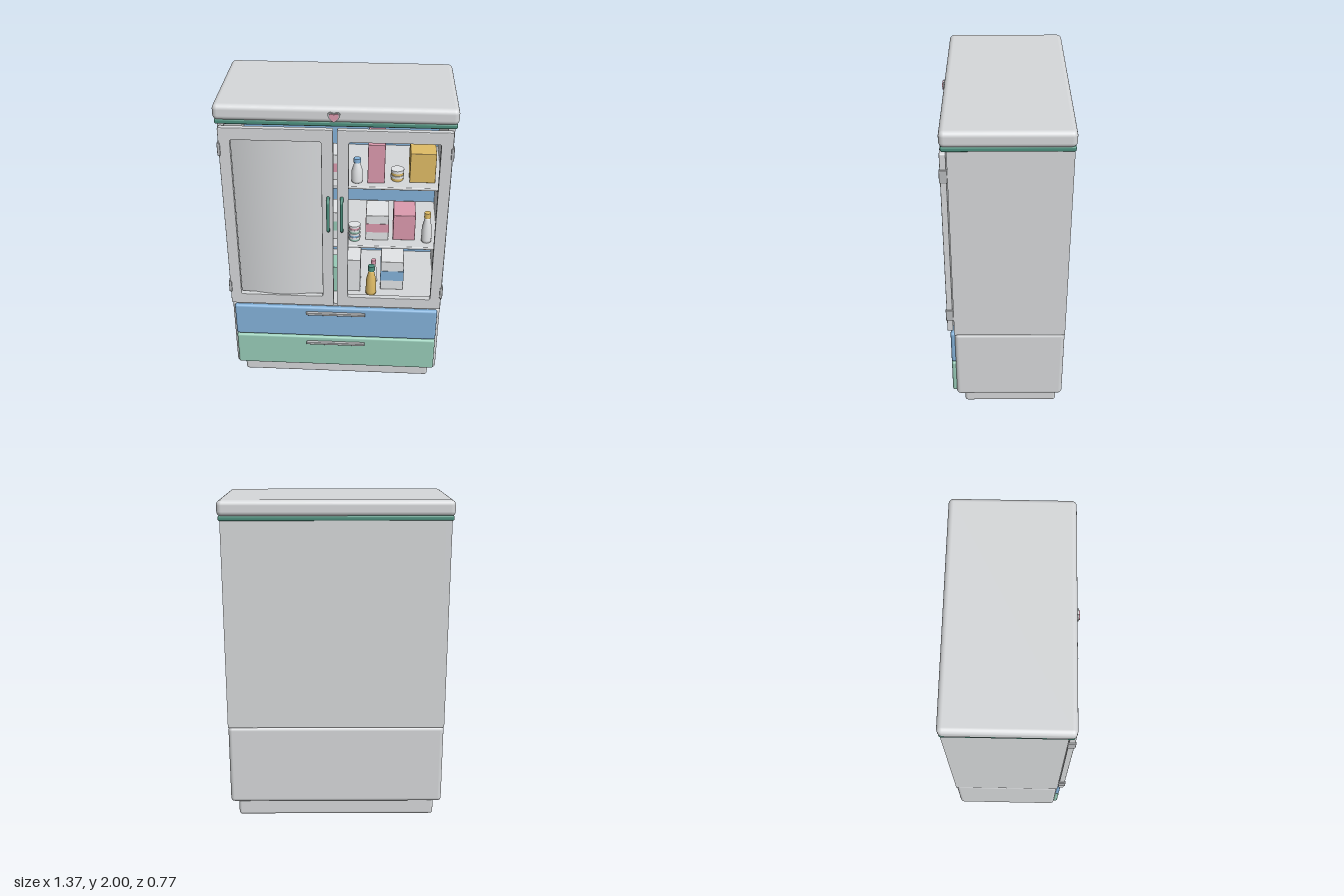
import * as THREE from 'three';
import { RoundedBoxGeometry } from 'three/addons/geometries/RoundedBoxGeometry.js';

const material = (name, color, side = THREE.FrontSide) => {
  const m = new THREE.MeshStandardMaterial({ color, side });
  m.name = name;
  return m;
};

export function createModel() {
  const model = new THREE.Group();
  model.name = 'cabinet';
  const enamel = material('enamel', 0xd6d8da, THREE.DoubleSide);
  const white = material('white', 0xe8eaec);
  const metal = material('metal', 0xb9bbbd);
  const blue = material('blue', 0x84b2da);
  const mint = material('mint', 0x98ccb8);
  const teal = material('teal', 0x4c8f7d);
  const pink = material('pink', 0xdc9aae);
  const yellow = material('yellow', 0xe0bc66);

  const add = (name, geometry, mat, parent = model) => {
    const mesh = new THREE.Mesh(geometry, mat);
    mesh.name = name;
    parent.add(mesh);
    return mesh;
  };
  // Box given by its limits on each axis; a radius rounds the edges
  const box = (name, mat, x0, x1, y0, y1, z0, z1, r = 0, parent = model) => {
    const size = [x1 - x0, y1 - y0, z1 - z0];
    const g = r ? new RoundedBoxGeometry(...size, 3, r) : new THREE.BoxGeometry(...size);
    g.translate((x0 + x1) / 2, (y0 + y1) / 2, (z0 + z1) / 2);
    return add(name, g, mat, parent);
  };

  // Plinth, drawer case, trim and lid
  box('plinth', enamel, -0.62, 0.62, 0, 0.12, -0.335, 0.25, 0.018);
  box('drawerCase', enamel, -0.667, 0.667, 0.105, 0.613, -0.37, 0.3, 0.025);
  box('trimBand', teal, -0.677, 0.677, 1.882, 1.912, -0.375, 0.332, 0.01);
  box('lid', enamel, -0.685, 0.685, 1.905, 2, -0.38, 0.34, 0.03);

  // Open-fronted upper cabinet with a blue lining
  for (const s of [-1, 1]) {
    box('sideWall', enamel, Math.min(s * 0.63, s * 0.667), Math.max(s * 0.63, s * 0.667), 0.613, 1.885, -0.37, 0.3);
  }
  box('backWall', enamel, -0.63, 0.63, 0.613, 1.885, -0.37, -0.335);
  box('backLining', blue, -0.63, 0.63, 0.63, 1.87, -0.335, -0.328);
  box('cabinetFloor', enamel, -0.63, 0.63, 0.613, 0.63, -0.335, 0.3);
  box('cabinetCeiling', enamel, -0.63, 0.63, 1.87, 1.885, -0.335, 0.3);
  for (const y of [1.02, 1.437]) box('shelf', enamel, -0.63, 0.63, y, y + 0.018, -0.33, 0.24, 0.006);

  // Drawers with slim bar handles
  [[0.128, 0.367, mint, 0.325], [0.375, 0.607, blue, 0.567]].forEach(([y0, y1, mat, hy]) => {
    box('drawerFront', mat, -0.65, 0.65, y0, y1, 0.29, 0.325, 0.014);
    box('drawerHandle', metal, -0.19, 0.19, hy - 0.009, hy + 0.009, 0.32, 0.345, 0.005);
  });

  // Doors: framed openings with handles and hinges
  const rect = (shape, x0, x1, y0, y1, r) => {
    shape.moveTo(x0 + r, y0).lineTo(x1 - r, y0).quadraticCurveTo(x1, y0, x1, y0 + r);
    shape.lineTo(x1, y1 - r).quadraticCurveTo(x1, y1, x1 - r, y1);
    shape.lineTo(x0 + r, y1).quadraticCurveTo(x0, y1, x0, y1 - r);
    shape.lineTo(x0, y0 + r).quadraticCurveTo(x0, y0, x0 + r, y0);
    return shape;
  };
  for (const s of [-1, 1]) {
    const door = new THREE.Group();
    door.name = s < 0 ? 'rightDoor' : 'leftDoor';
    model.add(door);
    const cx = s * 0.3365;
    const frame = rect(new THREE.Shape(), cx - 0.3255, cx + 0.3255, 0.64, 1.865, 0.012);
    frame.holes.push(rect(new THREE.Path(), cx - 0.258, cx + 0.258, 0.713, 1.79, 0.012));
    const g = new THREE.ExtrudeGeometry(frame, {
      depth: 0.027, bevelEnabled: true, bevelThickness: 0.004, bevelSize: 0.004, bevelOffset: -0.004, bevelSegments: 2,
    });
    add('doorFrame', g.translate(0, 0, 0.309), enamel, door);

    const path = new THREE.CurvePath();
    const pts = [[1.432, 0.33], [1.432, 0.36], [1.41, 0.376], [1.235, 0.376], [1.215, 0.36], [1.215, 0.33]]
      .map(([y, z]) => new THREE.Vector3(s * 0.04, y, z));
    for (let i = 1; i < pts.length; i++) path.add(new THREE.LineCurve3(pts[i - 1], pts[i]));
    add('doorHandle', new THREE.TubeGeometry(path, 40, 0.01, 10), teal, door);
    for (const y of [0.77, 1.73]) {
      box('hinge', metal, s * 0.661 - 0.009, s * 0.661 + 0.009, y - 0.04, y + 0.04, 0.3, 0.345, 0.004, door);
    }
  }

  // Bowed panel closing one door
  const panel = new THREE.PlaneGeometry(0.54, 1.12, 32, 1);
  const p = panel.attributes.position;
  for (let i = 0; i < p.count; i++) p.setZ(i, 0.05 * (1 - (p.getX(i) / 0.27) ** 2));
  panel.computeVertexNormals();
  add('bowedPanel', panel, enamel).position.set(-0.3365, 1.2515, 0.279);

  // Heart ornament on the lid edge
  const heart = new THREE.Shape();
  heart.moveTo(0, -0.03).bezierCurveTo(-0.05, 0, -0.035, 0.04, 0, 0.018);
  heart.bezierCurveTo(0.035, 0.04, 0.05, 0, 0, -0.03);
  const ornament = (name, mat, scale, z, depth) => {
    const g = new THREE.ExtrudeGeometry(heart, { depth, bevelEnabled: false, curveSegments: 8 });
    add(name, g.scale(scale, scale, 1), mat).position.set(-0.005, 1.947, z);
  };
  ornament('heartRim', metal, 1.1, 0.33, 0.017);
  ornament('heart', pink, 0.85, 0.34, 0.013);

  // Packets on the shelves, some with a coloured band
  const goods = new THREE.Group();
  goods.name = 'shelfGoods';
  model.add(goods);
  const low = 0.63, mid = 1.038, high = 1.455;
  const packet = (mat, x0, x1, y0, y1, z0, z1, band) => {
    box('packet', mat, x0, x1, y0, y1, z0, z1, 0.003, goods);
    const h = y1 - y0;
    if (band) box('packetBand', band, x0 - 0.002, x1 + 0.002, y0 + h * 0.33, y0 + h * 0.67, z0 - 0.002, z1 + 0.002, 0, goods);
  };
  packet(white, -0.09, 0.04, high, 1.62, 0, 0.16, pink);
  packet(pink, 0.185, 0.287, high, 1.705, -0.05, 0.19);
  packet(yellow, 0.435, 0.588, high, 1.645, -0.04, 0.17);
  packet(white, -0.09, 0.04, mid, 1.23, 0, 0.17, mint);
  packet(white, 0.18, 0.322, mid, 1.215, -0.02, 0.17, pink);
  packet(pink, 0.35, 0.487, mid, 1.215, -0.02, 0.16);
  packet(mint, -0.08, 0.005, low, 0.82, 0.02, 0.17);
  packet(white, 0.03, 0.152, low, 0.872, 0, 0.16);
  packet(white, 0.283, 0.43, low, 0.845, -0.04, 0.13, blue);

  // Bottles with a turned body and a cap
  const bottle = (mat, cap, x, y, z, r, h) => {
    const profile = [[0, 0], [r, 0], [r, h * 0.08], [r * 0.95, h * 0.5], [r * 0.55, h * 0.78], [r * 0.5, h * 0.85], [0, h * 0.85]]
      .map(([a, b]) => new THREE.Vector2(a, b));
    add('bottle', new THREE.LatheGeometry(profile, 20), mat, goods).position.set(x, y, z);
    add('bottleCap', new THREE.CylinderGeometry(r * 0.62, r * 0.66, h * 0.16, 20), cap, goods).position.set(x, y + h * 0.92, z);
  };
  bottle(white, blue, 0.122, high, 0.17, 0.034, 0.155);
  bottle(white, yellow, 0.558, mid, 0.16, 0.032, 0.205);
  bottle(yellow, teal, 0.222, low, 0.17, 0.034, 0.212);
  bottle(white, pink, 0.235, low, 0.04, 0.025, 0.17);

  // Stacked tubs in alternating colours
  const stack = (x, y, z, r, step, mats) => mats.forEach((m, i) => {
    add('tub', new THREE.CylinderGeometry(i % 2 ? r : r * 0.92, i % 2 ? r : r * 0.92, step, 20), m, goods)
      .position.set(x, y + step * (i + 0.5), z);
  });
  stack(0.362, high, 0.13, 0.04, 0.0175, [yellow, white, yellow, white]);
  stack(0.11, mid, 0.16, 0.037, 0.0135, [mint, white, blue, white, mint, white, pink, white]);

  return model;
}
